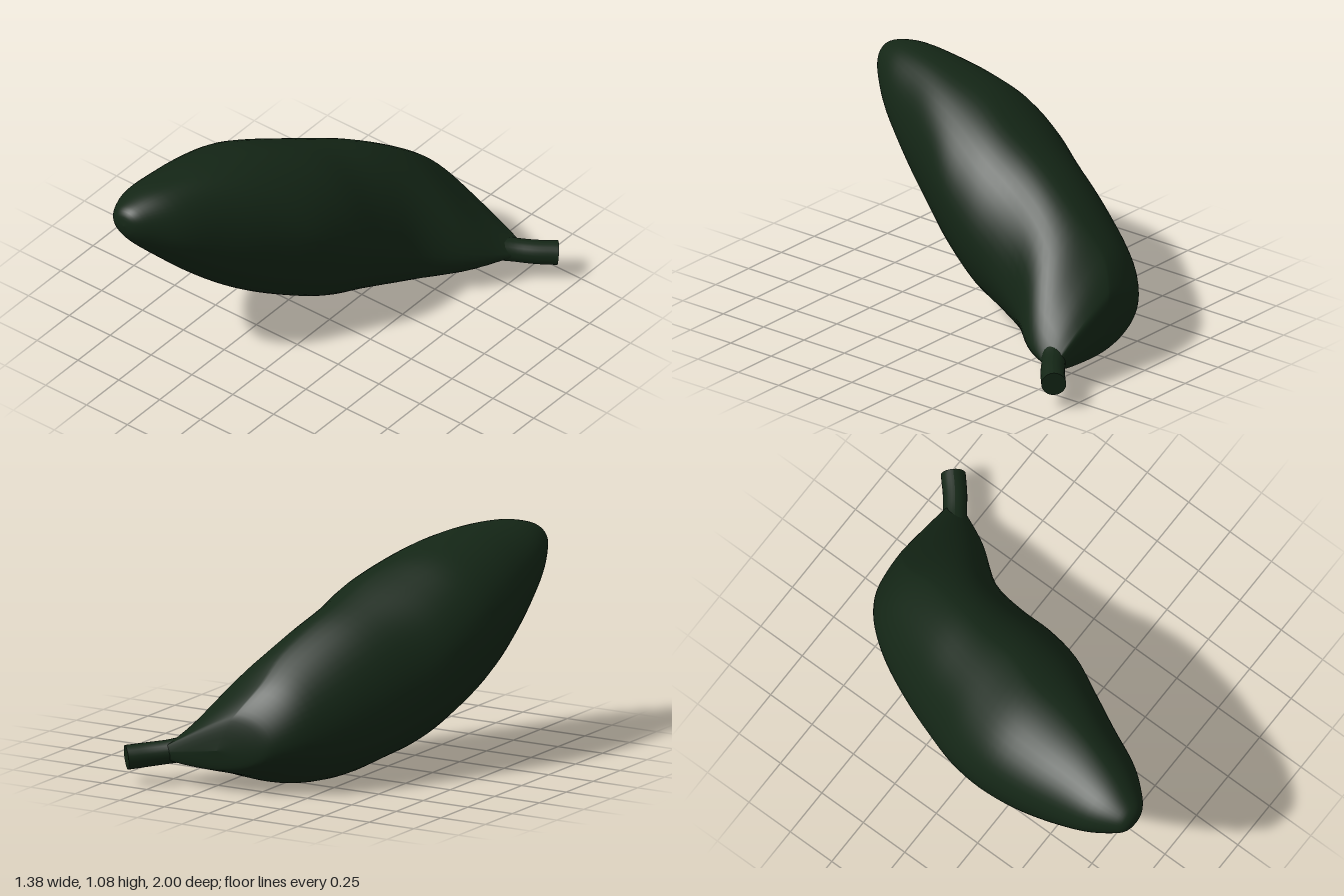
import * as THREE from 'three';

// Cross-sections from blossom tip to stem end:
// z, left x, right x, bottom y, top y, y of left edge, y of right edge, x of bottom, x of top, upper-right pinch
const SLICES = [
  [1.0, -0.47, -0.47, 0.95, 0.95, 0.95, 0.95, -0.47, -0.47, 1],
  [0.985, -0.54, -0.41, 0.89, 1.01, 0.95, 0.95, -0.47, -0.47, 1],
  [0.93, -0.585, -0.34, 0.81, 1.045, 0.94, 0.92, -0.46, -0.46, 1],
  [0.8, -0.64, -0.23, 0.67, 1.075, 0.89, 0.85, -0.43, -0.42, 1],
  [0.6, -0.675, -0.12, 0.47, 1.08, 0.8, 0.75, -0.38, -0.36, 1],
  [0.4, -0.695, -0.01, 0.305, 1.06, 0.73, 0.7, -0.32, -0.32, 1],
  [0.2, -0.69, 0.1, 0.185, 1.02, 0.66, 0.63, -0.25, -0.28, 1.1],
  [0.0, -0.645, 0.165, 0.09, 0.95, 0.57, 0.5, -0.19, -0.2, 1.1],
  [-0.2, -0.56, 0.2, 0.045, 0.865, 0.44, 0.38, -0.12, -0.16, 1.1],
  [-0.4, -0.47, 0.26, 0.005, 0.775, 0.36, 0.27, -0.05, -0.1, 1.1],
  [-0.6, -0.365, 0.415, 0.015, 0.655, 0.31, 0.2, 0.02, -0.03, 1.35],
  [-0.75, -0.255, 0.495, 0.07, 0.535, 0.29, 0.165, 0.1, 0.0, 1.6],
  [-0.84, -0.14, 0.53, 0.1, 0.42, 0.26, 0.155, 0.2, 0.07, 1.8],
  [-0.87, -0.03, 0.5, 0.12, 0.34, 0.24, 0.16, 0.22, 0.12, 1.8],
  [-0.885, 0.18, 0.18, 0.21, 0.21, 0.21, 0.21, 0.18, 0.18, 1],
];

// Point on a slice made of four quarter arcs between its extremes
function slicePoint([z, xl, xr, yb, yt, yL, yR, xB, xT, pinch], angle) {
  const c = Math.cos(angle), s = Math.sin(angle);
  const right = c >= 0, up = s >= 0;
  const e = right && up ? pinch : 1;
  const cx = up ? xT : xB, cy = right ? yR : yL;
  const x = cx + ((right ? xr : xl) - cx) * Math.abs(c) ** e;
  const y = cy + ((up ? yt : yb) - cy) * Math.abs(s) ** e;
  return new THREE.Vector3(x, y, z);
}

// Smooth skin stretched lengthwise over the slices
function podGeometry(rows = 56, cols = 48) {
  const position = [], index = [];
  const ribs = Array.from({ length: cols }, (_, j) =>
    new THREE.CatmullRomCurve3(SLICES.map((sl) => slicePoint(sl, (j / cols) * Math.PI * 2)), false, 'catmullrom', 0.5));
  for (let i = 0; i <= rows; i++) {
    for (let j = 0; j < cols; j++) {
      position.push(...ribs[j].getPoint(i / rows).toArray());
      if (i === rows) continue;
      const k = (j + 1) % cols;
      const a = i * cols + j, b = a + cols, c = (i + 1) * cols + k, d = i * cols + k;
      index.push(a, b, d, b, c, d);
    }
  }
  const geo = new THREE.BufferGeometry();
  geo.setAttribute('position', new THREE.Float32BufferAttribute(position, 3));
  geo.setIndex(index);
  geo.computeVertexNormals();
  return geo;
}

export function createModel() {
  const group = new THREE.Group();
  const material = new THREE.MeshStandardMaterial({ color: 0x142616 });
  const add = (name, geometry) => {
    const mesh = new THREE.Mesh(geometry, material);
    mesh.name = name;
    group.add(mesh);
    return mesh;
  };

  add('fruitBody', podGeometry());

  // Stem: tube that widens where it enters the body
  const path = new THREE.CatmullRomCurve3([
    new THREE.Vector3(0.3, 0.2, -0.68),
    new THREE.Vector3(0.46, 0.16, -0.81),
    new THREE.Vector3(0.56, 0.145, -0.885),
    new THREE.Vector3(0.64, 0.135, -0.957),
  ]);
  const steps = 16, sides = 24, radius = 0.06;
  const tube = new THREE.TubeGeometry(path, steps, radius, sides);
  const pos = tube.attributes.position, v = new THREE.Vector3();
  for (let i = 0; i < pos.count; i++) {
    const t = Math.floor(i / (sides + 1)) / steps;
    const centre = path.getPointAt(t);
    const flare = 0.92 + 0.6 * Math.max(0, 1 - t / 0.6) ** 2 + 0.08 * t;
    v.fromBufferAttribute(pos, i).sub(centre).multiplyScalar(flare).add(centre);
    pos.setXYZ(i, v.x, v.y, v.z);
  }
  tube.computeVertexNormals();
  add('stem', tube);

  // Flat cut end of the stem
  const end = add('stemEnd', new THREE.CircleGeometry(radius, sides));
  end.position.copy(path.getPointAt(1));
  end.lookAt(end.position.clone().add(path.getTangentAt(1)));

  return group;
}
